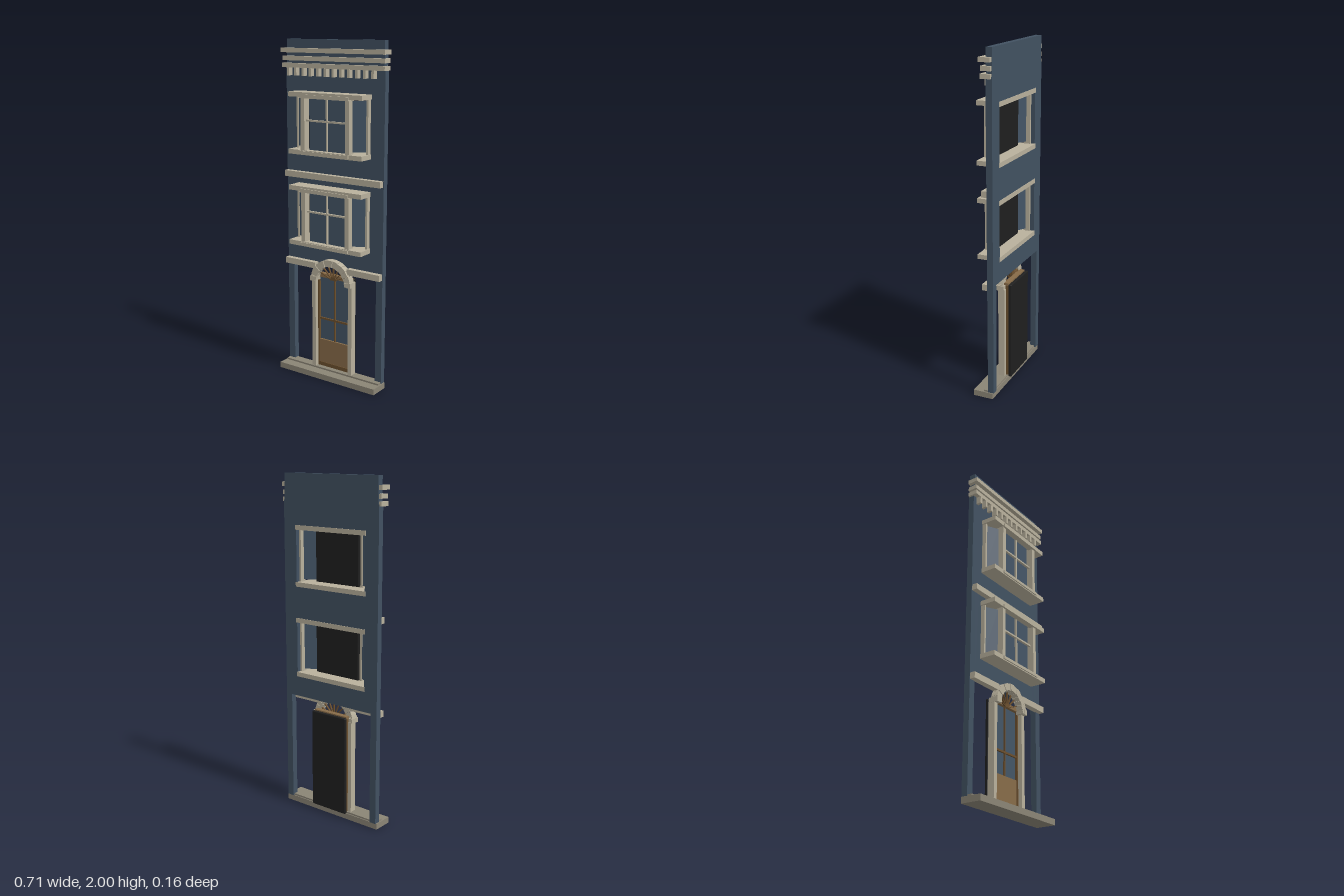
import * as THREE from 'three';
import { RoundedBoxGeometry } from 'three/addons/geometries/RoundedBoxGeometry.js';

const mat = (name, color) => new THREE.MeshStandardMaterial({ name, color });

export function createModel() {
  const wallBlue = mat('wall blue', 0x415161);
  const glassBlue = mat('glass blue', 0x445566);
  const stone = mat('pale stone', 0xb8b09c);
  const plinthGrey = mat('plinth grey', 0x8a8475);
  const wood = mat('door wood', 0x876b48);
  const darkWood = mat('dark wood', 0x6b4f2e);
  const black = mat('backing black', 0x1f1f1f);

  const model = new THREE.Group();
  model.name = 'townhouseFacade';

  const add = (parent, name, geometry, material) => {
    const mesh = new THREE.Mesh(geometry, material);
    mesh.name = name;
    parent.add(mesh);
    return mesh;
  };
  // Box given by its limits on each axis
  const box = (parent, name, material, x0, x1, y0, y1, z0, z1) => {
    const mesh = add(parent, name, new THREE.BoxGeometry(x1 - x0, y1 - y0, z1 - z0), material);
    mesh.position.set((x0 + x1) / 2, (y0 + y1) / 2, (z0 + z1) / 2);
    return mesh;
  };
  const roundedPanel = (parent, name, w, y0, y1, z0, z1) => {
    const geo = new RoundedBoxGeometry(w, y1 - y0, z1 - z0, 2, 0.006);
    add(parent, name, geo, black).position.set(0, (y0 + y1) / 2, (z0 + z1) / 2);
  };
  const group = (name) => {
    const g = new THREE.Group();
    g.name = name;
    model.add(g);
    return g;
  };

  const BACK = -0.064, FACE = -0.028;
  const floors = [
    { y0: 0.815, y1: 1.17, bar: 1.02 },
    { y0: 1.355, y1: 1.71, bar: 1.55 },
  ];

  // Wall: one slab with legs either side of the shop opening, and two window holes
  const outline = new THREE.Shape([
    [-0.337, 0.035], [-0.295, 0.035], [-0.295, 0.695], [0.295, 0.695],
    [0.295, 0.035], [0.337, 0.035], [0.337, 1.85], [-0.337, 1.85],
  ].map(([x, y]) => new THREE.Vector2(x, y)));
  for (const { y0, y1 } of floors) {
    outline.holes.push(new THREE.Path([
      [-0.247, y0 + 0.01], [-0.247, y1 - 0.01], [0.247, y1 - 0.01], [0.247, y0 + 0.01],
    ].map(([x, y]) => new THREE.Vector2(x, y))));
  }
  const wall = new THREE.ExtrudeGeometry(outline, { depth: FACE - BACK, bevelEnabled: false });
  add(model, 'wall', wall, wallBlue).position.z = BACK;
  box(model, 'parapet', wallBlue, -0.331, 0.331, 1.85, 2, BACK, FACE);

  // Plinth and threshold
  box(model, 'plinth', plinthGrey, -0.343, 0.343, 0, 0.035, -0.06, 0.06);
  box(model, 'threshold', plinthGrey, -0.335, 0.335, 0.035, 0.045, -0.055, 0);

  // Cornice mouldings with a row of dentils beneath
  const cornice = group('cornice');
  [[1.84, 1.865, 0.349, 0], [1.88, 1.905, 0.347, -0.003], [1.925, 1.95, 0.353, 0.006]]
    .forEach(([y0, y1, x, z]) => box(cornice, 'corniceMoulding', stone, -x, x, y0, y1, -0.06, z));
  for (let i = 0; i < 12; i++) {
    const x = -0.302 + i * 0.0524;
    box(cornice, 'dentil', stone, x - 0.008, x + 0.008, 1.795, 1.84, FACE, 0.003);
  }

  // String courses; the lower one stops at the door arch
  box(model, 'upperStringCourse', stone, -0.333, 0.333, 1.205, 1.24, FACE, 0.005);
  for (const s of [-1, 1]) {
    const [a, b] = [s * 0.113, s * 0.335].sort((p, q) => p - q);
    box(model, 'lowerStringCourse', stone, a, b, 0.668, 0.704, -0.032, 0.004);
  }

  // Canted bay windows
  for (const { y0, y1, bar } of floors) {
    const bay = group('bayWindow');
    const s0 = y0 + 0.027, h0 = y1 - 0.027;
    box(bay, 'sill', stone, -0.252, 0.252, y0, s0, -0.067, 0.07);
    box(bay, 'head', stone, -0.252, 0.252, h0, y1, -0.067, 0.07);
    box(bay, 'sillLip', stone, -0.167, 0.167, y0 + 0.006, s0 - 0.004, 0.06, 0.077);
    box(bay, 'headLip', stone, -0.167, 0.167, h0 - 0.006, y1 - 0.012, 0.04, 0.077);
    box(bay, 'frontGlass', glassBlue, -0.128, 0.128, s0, h0, 0.025, 0.033);
    roundedPanel(bay, 'windowBacking', 0.31, s0 + 0.004, h0 - 0.004, 0, 0.02);
    box(bay, 'verticalBar', stone, -0.004, 0.004, s0, h0, 0.033, 0.045);
    box(bay, 'horizontalBar', stone, -0.14, 0.14, bar - 0.005, bar + 0.005, 0.033, 0.047);
    for (const s of [-1, 1]) {
      const post = (name, c, w, z0, z1) =>
        box(bay, name, stone, s * c - w / 2, s * c + w / 2, s0, h0, z0, z1);
      post('frontPost', 0.153, 0.027, 0.02, 0.065);
      post('sidePost', 0.24, 0.013, -0.04, -0.003);
      const pane = box(bay, 'sideGlass', glassBlue, -0.041, 0.041, s0 + 0.012, h0 - 0.008, -0.003, 0.003);
      pane.position.x = s * 0.2;
      pane.position.z = 0.008;
      pane.rotation.y = s * 0.52;
    }
  }

  // Door
  const door = group('door');
  roundedPanel(door, 'doorBacking', 0.25, 0.037, 0.63, -0.08, -0.06);
  box(door, 'doorGlass', glassBlue, -0.11, 0.11, 0.215, 0.61, -0.055, -0.045);
  box(door, 'doorPanel', wood, -0.107, 0.107, 0.068, 0.215, -0.055, -0.034);
  box(door, 'bottomRail', darkWood, -0.118, 0.118, 0.045, 0.068, -0.06, -0.03);
  box(door, 'middleRail', darkWood, -0.11, 0.11, 0.343, 0.354, -0.05, -0.035);
  box(door, 'centreBar', darkWood, -0.004, 0.004, 0.215, 0.61, -0.05, -0.035);
  box(door, 'transom', wood, -0.118, 0.118, 0.612, 0.635, -0.06, -0.028);
  for (const s of [-1, 1]) {
    box(door, 'doorStile', darkWood, s * 0.114 - 0.006, s * 0.114 + 0.006, 0.045, 0.62, -0.06, -0.03);
    box(door, 'doorPost', stone, s * 0.13 - 0.013, s * 0.13 + 0.013, 0.045, 0.6, -0.045, -0.005);
    box(door, 'impost', stone, s * 0.13 - 0.015, s * 0.13 + 0.015, 0.593, 0.622, -0.04, 0.015);
  }

  // Arch of wedge stones, every other one standing slightly proud
  const arch = group('doorArch');
  const COUNT = 13, centreY = 0.595;
  for (let i = 0; i < COUNT; i++) {
    const a0 = Math.PI * i / COUNT, a1 = Math.PI * (i + 1) / COUNT - 0.012;
    const wedge = new THREE.Shape();
    wedge.absarc(0, 0, 0.142, a0, a1, false);
    wedge.absarc(0, 0, 0.102, a1, a0, true);
    const geo = new THREE.ExtrudeGeometry(wedge, {
      depth: i % 2 ? 0.043 : 0.046, bevelEnabled: false, curveSegments: 3,
    });
    add(arch, 'archStone', geo, stone).position.set(0, centreY, -0.032);
  }

  // Fanlight: hub and radiating bars
  const fan = group('fanlight');
  const hub = new THREE.CylinderGeometry(0.022, 0.022, 0.012, 16, 1, false, -Math.PI / 2, Math.PI);
  const hubMesh = add(fan, 'fanHub', hub, darkWood);
  hubMesh.rotation.x = -Math.PI / 2;
  hubMesh.position.set(0, 0.606, -0.026);
  for (let i = 1; i < 8; i++) {
    const a = Math.PI * i / 8;
    const bar = add(fan, 'fanBar', new THREE.BoxGeometry(0.09, 0.005, 0.01), darkWood);
    bar.position.set(0.058 * Math.cos(a), 0.606 + 0.052 * Math.sin(a), -0.025);
    bar.rotation.z = a;
  }
  return model;
}
